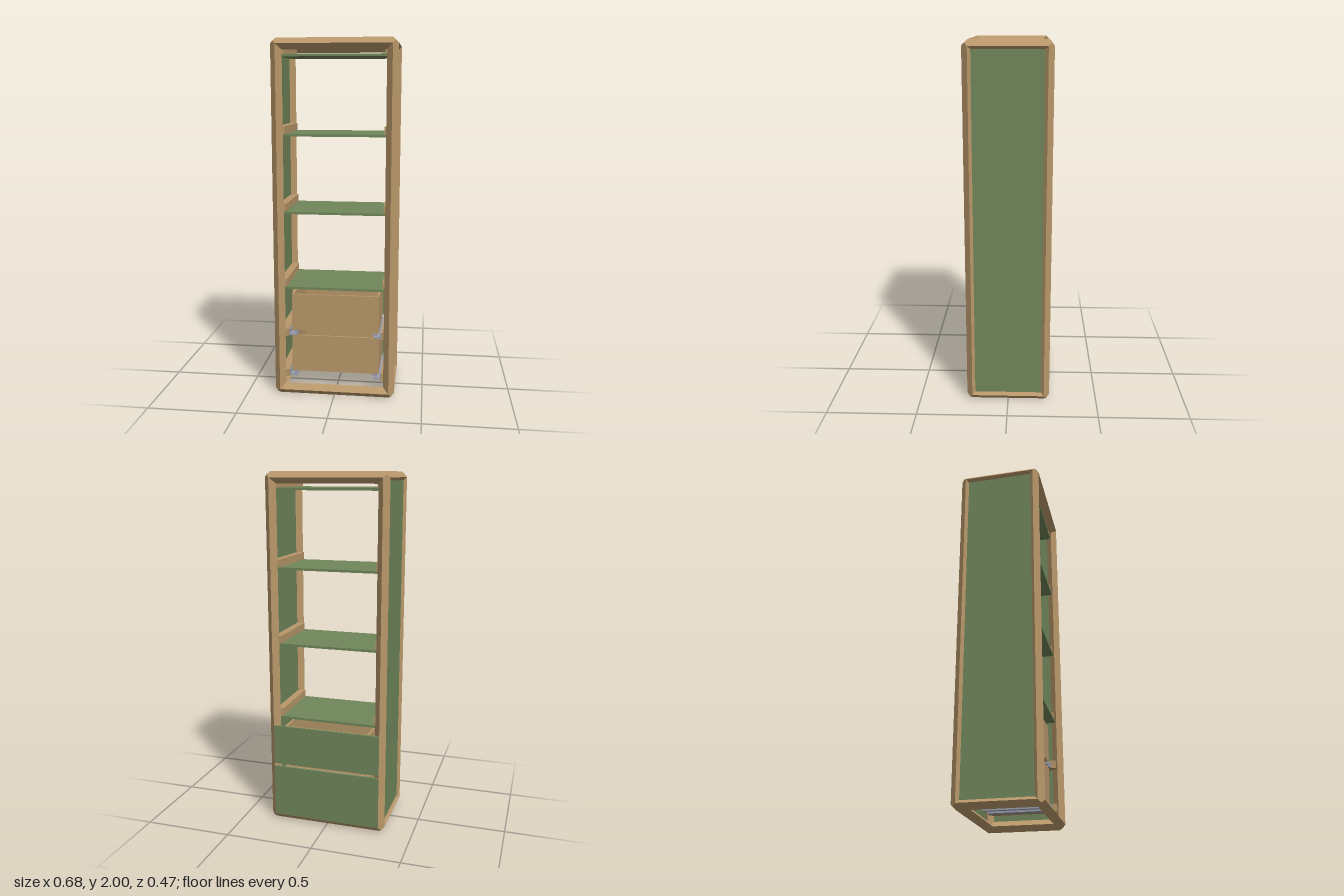
import * as THREE from 'three';
import { ConvexGeometry } from 'three/addons/geometries/ConvexGeometry.js';

const mat = (color) => new THREE.MeshStandardMaterial({ color });
const wood = mat(0xb8976a), green = mat(0x70865a), steel = mat(0x9a9eae);

function addMesh(parent, name, geometry, material) {
  const mesh = new THREE.Mesh(geometry, material);
  mesh.name = name;
  parent.add(mesh);
  return mesh;
}

// Box given by its minimum and maximum on each axis
function addBox(parent, name, material, [x0, x1], [y0, y1], [z0, z1]) {
  const mesh = addMesh(parent, name, new THREE.BoxGeometry(Math.abs(x1 - x0), y1 - y0, z1 - z0), material);
  mesh.position.set((x0 + x1) / 2, (y0 + y1) / 2, (z0 + z1) / 2);
  return mesh;
}

// Diamond-section bar along x whose pointed ends form mitred corners
function barGeometry(half, a) {
  const points = [];
  for (const e of [-1, 1]) {
    points.push(new THREE.Vector3(e * (half + a), 0, 0));
    for (const s of [-1, 1]) {
      points.push(new THREE.Vector3(e * half, s * a, 0), new THREE.Vector3(e * half, 0, s * a));
      for (const t of [-1, 1]) points.push(new THREE.Vector3(e * (half + a / 2), s * a / 2, t * a / 2));
    }
  }
  return new ConvexGeometry(points);
}

function createFrame() {
  const frame = new THREE.Group();
  frame.name = 'frame';
  const a = 0.031, hx = 0.311, hy = 1 - a, hz = 0.203;
  for (const s of [-1, 1]) {
    for (const t of [-1, 1]) {
      addMesh(frame, 'crossBar', barGeometry(hx, a), wood).position.set(0, 1 + s * hy, t * hz);
      const post = addMesh(frame, 'cornerPost', barGeometry(hy, a), wood);
      post.rotation.z = Math.PI / 2;
      post.position.set(s * hx, 1, t * hz);
      const depth = addMesh(frame, 'depthBar', barGeometry(hz, a), wood);
      depth.rotation.y = Math.PI / 2;
      depth.position.set(s * hx, 1 + t * hy, 0);
    }
  }
  return frame;
}

// Open-topped box with a wide face board on its -z end and a slide under each side
function createDrawer(bottom, faceY) {
  const drawer = new THREE.Group();
  drawer.name = 'drawer';
  const w = 0.25, t = 0.012, top = bottom + 0.215, z0 = -0.22, z1 = 0.16;
  addBox(drawer, 'drawerFace', green, [-0.311, 0.311], faceY, [-0.234, z0]);
  addBox(drawer, 'drawerBottom', wood, [-w + t, w - t], [bottom + 0.005, bottom + 0.015], [z0 + t, z1 - t]);
  for (const z of [z0, z1 - t]) {
    addBox(drawer, 'drawerEnd', wood, [-w + t, w - t], [bottom, top], [z, z + t]);
  }
  for (const s of [-1, 1]) {
    addBox(drawer, 'drawerSide', wood, [s * (w - t), s * w], [bottom, top], [z0, z1]);
    addBox(drawer, 'slideRail', steel, [s * 0.215, s * 0.24], [bottom - 0.014, bottom], [z0, z1]);
    addBox(drawer, 'slideFlange', steel, [s * 0.222, s * 0.265], [bottom - 0.028, bottom - 0.018], [-0.19, 0.17]);
    addBox(drawer, 'slideWeb', steel, [s * 0.258, s * 0.265], [bottom - 0.028, bottom + 0.01], [-0.19, 0.17]);
    addBox(drawer, 'slideCleat', wood, [s * 0.265, s * 0.312], [bottom - 0.025, bottom + 0.018], [-0.195, 0.195]);
  }
  return drawer;
}

export function createModel() {
  const model = new THREE.Group();
  model.name = 'shelfCabinet';
  model.add(createFrame());

  // Side panels let into the frame
  for (const s of [-1, 1]) {
    addBox(model, 'sidePanel', green, [s * 0.312, s * 0.326], [0.047, 1.953], [-0.188, 0.188]);
  }

  // Shelves with a cleat along each end
  for (const y of [0.62, 1.05, 1.478, 1.903]) {
    addBox(model, 'shelf', green, [-0.3, 0.3], [y, y + 0.013], [-0.195, 0.195]);
    for (const s of [-1, 1]) {
      addBox(model, 'shelfCleat', wood, [s * 0.27, s * 0.312], [y + 0.013, y + 0.055], [-0.19, 0.19]);
    }
  }

  model.add(createDrawer(0.12, [0.031, 0.335]));
  model.add(createDrawer(0.365, [0.353, 0.583]));
  return model;
}
